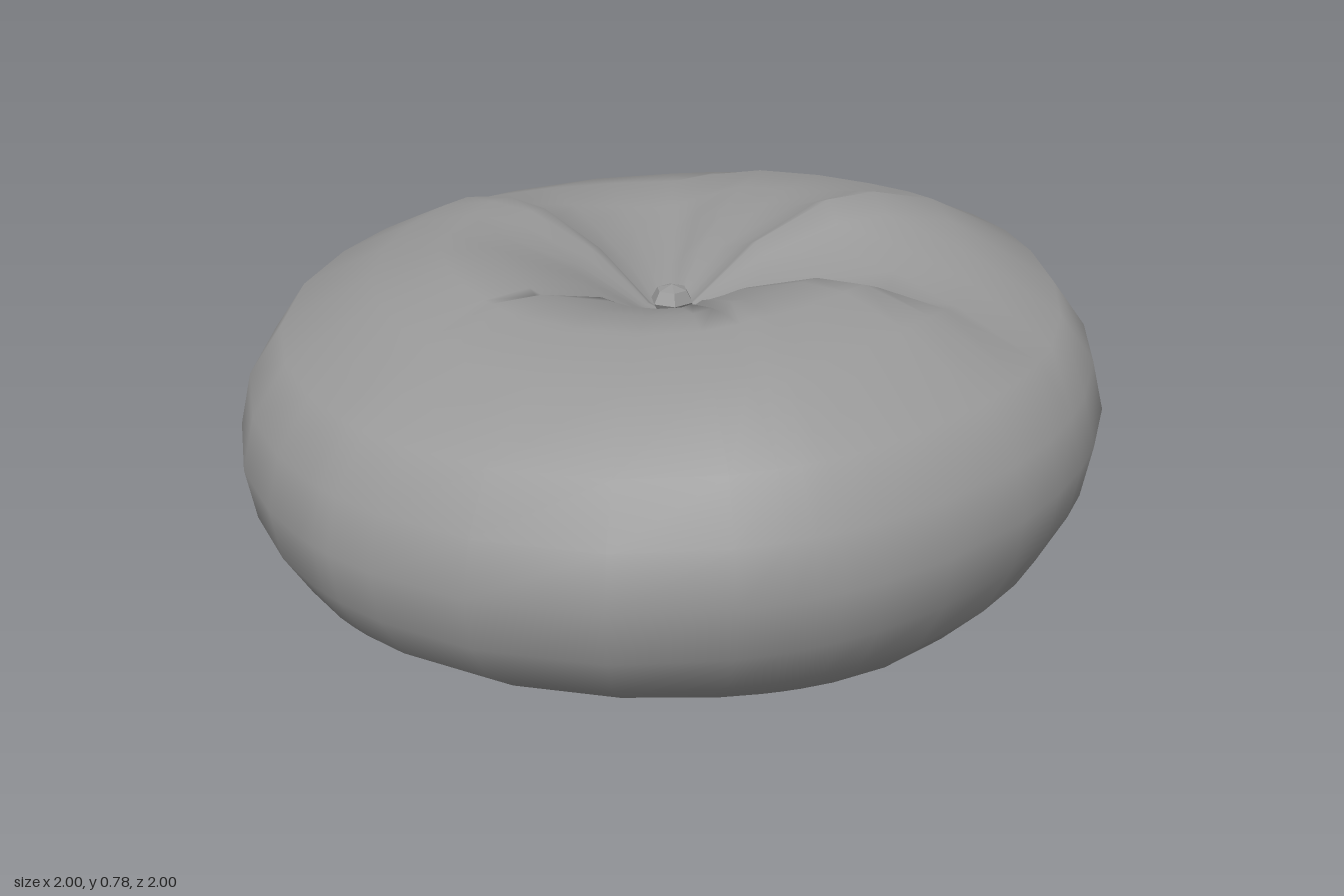
import * as THREE from 'three';

// Cushion cross-section from the underside centre to the tuft:
// [radius, height, z tilt, x tilt, fold weight, slit weight, underside waviness]
const RINGS = [
  [0.001, 0.025, 0, 0, 0, 0, 0],
  [0.58, 0.037, -0.035, -0.03, 0, 0, 0.004],
  [0.82, 0.05, -0.04, -0.034, 0, 0, 0.012],
  [0.92, 0.13, -0.05, -0.005, 0, 0, 0.006],
  [0.98, 0.24, -0.06, 0, 0, 0, 0],
  [1.0, 0.36, -0.06, 0, 0, 0, 0],
  [0.97, 0.48, -0.065, -0.01, 0, 0, 0],
  [0.89, 0.59, -0.065, -0.01, 0.1, 0, 0],
  [0.68, 0.677, -0.055, -0.01, 0.5, 0, 0],
  [0.52, 0.705, -0.02, 0, 0.85, 0, 0],
  [0.4, 0.695, 0, 0, 1, 0.15, 0],
  [0.22, 0.64, 0, 0, 0.65, 1, 0],
  [0.06, 0.55, 0, 0, 0.1, 0.2, 0],
  [0.001, 0.54, 0, 0, 0, 0, 0],
];

// Spokes around the cushion: [degrees from +x towards +z, fold height, slit depth]
const SPOKES = [
  [0, 0.02, 0], [12, 0.015, 0], [21, 0.01, 0], [26, 0.01, 0], [29, 0, 0.08], [32, 0, 0],
  [38, -0.01, 0], [52, -0.015, 0], [68, -0.015, 0], [81, -0.01, 0], [88, -0.005, 0],
  [91, 0, 0.08], [94, 0, 0], [102, 0.01, 0], [114, 0.02, 0], [128, 0.02, 0], [144, 0.015, 0],
  [158, 0.02, 0], [169, 0.025, 0], [176, 0.02, 0], [182, -0.015, 0], [197, -0.05, 0],
  [212, -0.075, 0], [226, -0.085, 0], [234, -0.05, 0], [246, -0.01, 0], [260, 0.005, 0],
  [274, 0.025, 0], [286, 0.055, 0], [295, 0.08, 0], [304, 0.04, 0], [316, 0, 0],
  [328, -0.035, 0], [339, -0.055, 0], [345, -0.015, 0], [352, 0.015, 0],
];

function cushionGeometry() {
  const pos = [], index = [], n = SPOKES.length;
  for (const [r, h, tz, tx, fold, slit, wave] of RINGS) {
    for (const [deg, f, s] of SPOKES) {
      const a = THREE.MathUtils.degToRad(deg);
      const x = r * Math.cos(a), z = r * Math.sin(a);
      const y = h + tz * z + tx * x + fold * f - slit * s - wave * Math.cos(4 * a);
      pos.push(x, y, z);
    }
  }
  for (let j = 0; j < RINGS.length - 1; j++) {
    for (let i = 0; i < n; i++) {
      const k = (i + 1) % n;
      const a = j * n + i, b = a + n, c = j * n + k, d = c + n;
      index.push(a, b, c, b, d, c);
    }
  }
  const geo = new THREE.BufferGeometry();
  geo.setAttribute('position', new THREE.Float32BufferAttribute(pos, 3));
  geo.setIndex(index);
  geo.computeVertexNormals();
  return geo;
}

export function createModel() {
  const group = new THREE.Group();
  group.name = 'floorCushion';

  // Padded body with gathered folds on top
  const cushion = new THREE.Mesh(
    cushionGeometry(),
    new THREE.MeshStandardMaterial({ color: 0x979797, side: THREE.DoubleSide })
  );
  cushion.name = 'cushion';
  group.add(cushion);

  // Faceted button in the central tuft
  const button = new THREE.Mesh(
    new THREE.SphereGeometry(0.052, 6, 4),
    new THREE.MeshStandardMaterial({ color: 0x979797, flatShading: true })
  );
  button.name = 'button';
  button.scale.y = 0.75;
  button.rotation.y = 0.4;
  button.position.set(0, 0.57, -0.01);
  group.add(button);

  return group;
}
